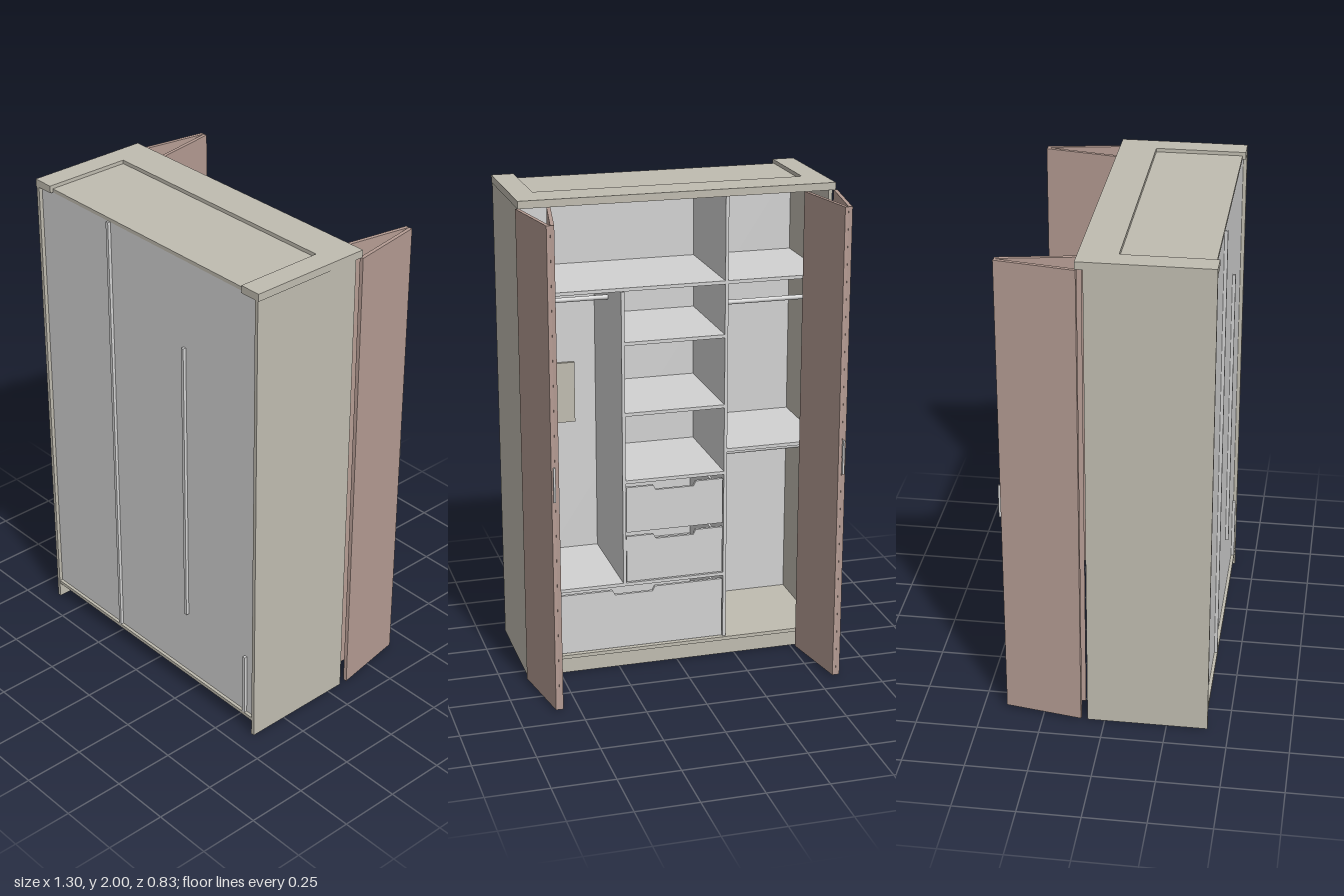
import * as THREE from 'three';

export function createModel() {
  const model = new THREE.Group();
  model.name = 'wardrobe';
  const mat = (name, color) => {
    const m = new THREE.MeshStandardMaterial({ color });
    m.name = name;
    return m;
  };
  const beige = mat('beige', 0xc0bcb0);
  const grey = mat('light grey', 0xd2d2d2);
  const rose = mat('rose brown', 0xb59c93);

  const add = (name, geometry, material) => {
    const mesh = new THREE.Mesh(geometry, material);
    mesh.name = name;
    model.add(mesh);
    return mesh;
  };
  // box given by its limits on each axis
  const box = (name, material, x0, x1, y0, y1, z0, z1) => {
    const mesh = add(name, new THREE.BoxGeometry(x1 - x0, y1 - y0, z1 - z0), material);
    mesh.position.set((x0 + x1) / 2, (y0 + y1) / 2, (z0 + z1) / 2);
    return mesh;
  };

  // carcass
  box('leftSide', beige, 0.622, 0.637, 0, 1.97, -0.07, 0.415);
  box('rightSide', beige, -0.637, -0.622, 0, 1.97, -0.07, 0.415);
  box('bottomBoard', beige, -0.622, 0.622, 0.065, 0.08, -0.07, 0.413);
  box('plinth', beige, -0.622, 0.622, 0, 0.065, -0.06, -0.045);
  box('backPanel', grey, -0.622, 0.622, 0.08, 1.97, 0.39, 0.4);

  // U-shaped top frame with a lowered board inside it
  const u = new THREE.Shape([
    [-0.64, 0.1], [0.64, 0.1], [0.64, -0.415], [0.55, -0.415],
    [0.55, -0.05], [-0.55, -0.05], [-0.55, -0.415], [-0.64, -0.415],
  ].map(([x, y]) => new THREE.Vector2(x, y)));
  const frame = new THREE.ExtrudeGeometry(u, { depth: 0.03, bevelEnabled: false });
  frame.rotateX(-Math.PI / 2);
  add('topFrame', frame, beige).position.y = 1.97;
  box('topBoard', beige, -0.55, 0.55, 1.97, 1.985, 0.05, 0.402);

  // upright dividers
  box('tallDivider', grey, -0.213, -0.2, 0.08, 1.97, -0.06, 0.413);
  box('shortDivider', grey, 0.215, 0.228, 0.37, 1.605, -0.06, 0.413);
  box('drawerFiller', grey, 0.565, 0.578, 0.08, 0.355, -0.06, 0.413);

  // shelves
  const shelf = (name, x0, x1, y) => box(name, grey, x0, x1, y, y + 0.014, -0.06, 0.39);
  shelf('topShelf', -0.2, 0.622, 1.607);
  shelf('lowShelf', -0.2, 0.622, 0.356);
  for (const y of [0.803, 1.09, 1.385]) shelf('middleShelf', -0.2, 0.215, y);
  shelf('sideTopShelf', -0.622, -0.213, 1.607);
  shelf('sideMiddleShelf', -0.622, -0.213, 0.9);

  // drawers: notched front with an open tray behind
  const drawer = (x0, x1, y0, y1) => {
    const c = (x0 + x1) / 2, n = 0.09;
    const front = new THREE.Shape([
      [x0, y0], [x1, y0], [x1, y1], [c + n, y1], [c + n - 0.01, y1 - 0.02],
      [c - n + 0.01, y1 - 0.02], [c - n, y1], [x0, y1],
    ].map(([x, y]) => new THREE.Vector2(x, y)));
    add('drawerFront', new THREE.ExtrudeGeometry(front, { depth: 0.013, bevelEnabled: false }), grey).position.z = -0.055;
    const t = y1 - 0.04;
    box('drawerFloor', grey, x0 + 0.01, x1 - 0.01, y0 + 0.01, y0 + 0.02, -0.042, 0.36);
    box('drawerBack', grey, x0 + 0.01, x1 - 0.01, y0 + 0.02, t, 0.35, 0.36);
    box('drawerSide', grey, x0 + 0.01, x0 + 0.02, y0 + 0.02, t, -0.042, 0.35);
    box('drawerSide', grey, x1 - 0.02, x1 - 0.01, y0 + 0.02, t, -0.042, 0.35);
  };
  drawer(-0.197, 0.212, 0.59, 0.785);
  drawer(-0.197, 0.212, 0.373, 0.572);
  drawer(-0.197, 0.562, 0.083, 0.34);

  // hanging rails
  const rail = (x0, x1, y) => {
    const g = new THREE.CylinderGeometry(0.01, 0.01, x1 - x0, 12).rotateZ(Math.PI / 2);
    add('hangingRail', g, grey).position.set((x0 + x1) / 2, y, 0.16);
  };
  rail(-0.622, -0.213, 1.47);
  rail(-0.622, -0.213, 0.82);
  rail(0.228, 0.622, 1.53);

  // plate at the back of the hanging space
  box('innerPlate', beige, 0.32, 0.615, 0.94, 1.2, 0.375, 0.389);

  // folded door pairs
  const door = (name, xa, xb) => {
    const dx = xb - xa, dz = -0.311;
    const mesh = add(name, new THREE.BoxGeometry(0.015, 1.96, Math.hypot(dx, dz)), rose);
    mesh.position.set((xa + xb) / 2, 0.99, -0.249);
    mesh.rotation.y = Math.atan2(dx, dz);
  };
  for (const s of [1, -1]) {
    door('outerDoor', s * 0.641, s * 0.589);
    door('innerDoor', s * 0.519, s * 0.574);
    const x = s * 0.586;
    box('doorHandle', grey, x - 0.004, x + 0.004, 0.89, 1.03, -0.415, -0.395);
  }
  return model;
}
